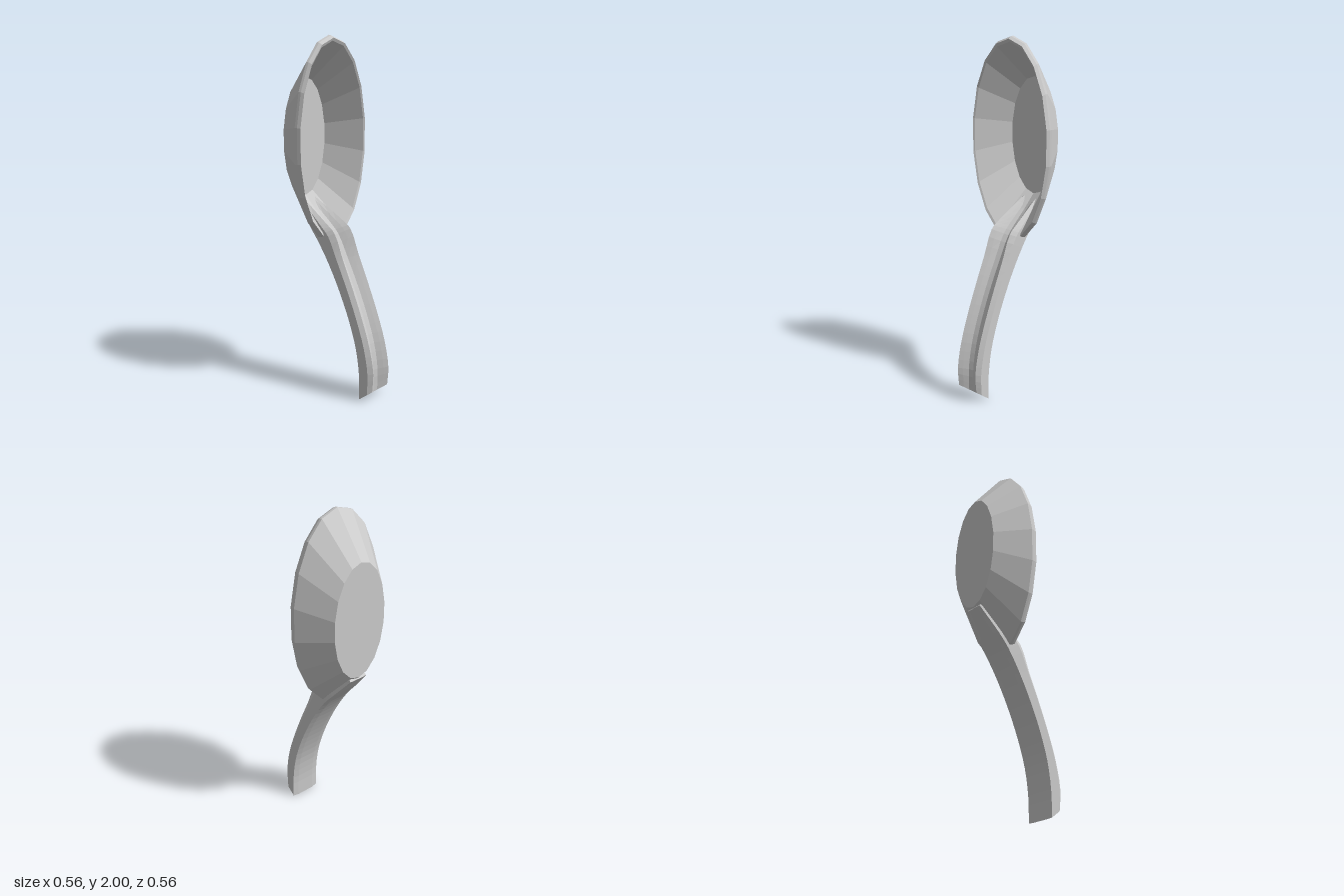
import * as THREE from 'three';

const V = (x, y, z) => new THREE.Vector3(x, y, z);

// Faceted oval bowl: a lathe laid on its back and stretched in height
function makeBowl(material) {
  const profile = [
    [0, -0.279], [0.17, -0.279], [0.285, -0.095], [0.284, -0.08], [0.278, -0.06],
    [0.27, -0.067], [0.168, -0.27], [0, -0.27],
  ].map(([r, h]) => new THREE.Vector2(r, h));
  const geo = new THREE.LatheGeometry(profile, 18);
  geo.rotateX(Math.PI / 2);
  geo.scale(1, 1.99, 1);
  geo.translate(0, 1.433, 0);
  const mesh = new THREE.Mesh(geo, material);
  mesh.name = 'bowl';
  return mesh;
}

// Curved handle with a groove down its front, lofted between a back line and a ridge line
function makeHandle(material) {
  // x holds the half width
  const back = new THREE.CatmullRomCurve3([
    V(0.09, 0, 0.19), V(0.09, 0.15, 0.186), V(0.09, 0.3, 0.163), V(0.09, 0.45, 0.115),
    V(0.09, 0.6, 0.05), V(0.09, 0.75, -0.03), V(0.09, 0.87, -0.11), V(0.085, 0.95, -0.175),
    V(0.055, 1.085, -0.278),
  ]);
  const ridge = new THREE.CatmullRomCurve3([
    V(0, 0.06, 0.27), V(0, 0.17, 0.277), V(0, 0.32, 0.248), V(0, 0.48, 0.193),
    V(0, 0.64, 0.127), V(0, 0.79, 0.06), V(0, 0.93, 0), V(0, 0.975, -0.06),
    V(0, 1.1, -0.265),
  ]);
  // Across the handle (-1..1) and from back (0) to ridge (1)
  const section = [
    [-1, 0.06], [-1, 0.72], [-0.78, 1], [-0.55, 0.78], [-0.3, 0.52], [0, 0.43],
    [0.3, 0.52], [0.55, 0.78], [0.78, 1], [1, 0.72], [1, 0.06], [0.6, 0], [-0.6, 0],
  ];
  const n = section.length, rows = 24;
  const pos = [], index = [];
  const addPoint = (t, [u, v]) => {
    const b = back.getPoint(t), r = ridge.getPoint(t);
    pos.push(u * b.x, b.y + (r.y - b.y) * v, b.z + (r.z - b.z) * v);
  };
  for (let i = 0; i <= rows; i++) section.forEach((p) => addPoint(i / rows, p));
  for (let i = 0; i < rows; i++) {
    for (let j = 0; j < n; j++) {
      const k = (j + 1) % n;
      const a = i * n + j, b = i * n + k, c = a + n, d = b + n;
      index.push(a, b, d, a, d, c);
    }
  }
  // End caps
  const first = pos.length / 3;
  addPoint(0, [0, 0.2]);
  addPoint(1, [0, 0.2]);
  for (let j = 0; j < n; j++) {
    const k = (j + 1) % n;
    index.push(first, k, j, first + 1, rows * n + j, rows * n + k);
  }
  const geo = new THREE.BufferGeometry();
  geo.setAttribute('position', new THREE.Float32BufferAttribute(pos, 3));
  geo.setIndex(index);
  geo.computeVertexNormals();
  const mesh = new THREE.Mesh(geo, material);
  mesh.name = 'handle';
  return mesh;
}

export function createModel() {
  const grey = new THREE.MeshStandardMaterial({ color: 0xcccccc, flatShading: true });
  grey.name = 'light grey';
  const spoon = new THREE.Group();
  spoon.name = 'spoon';
  spoon.add(makeBowl(grey), makeHandle(grey));
  return spoon;
}
